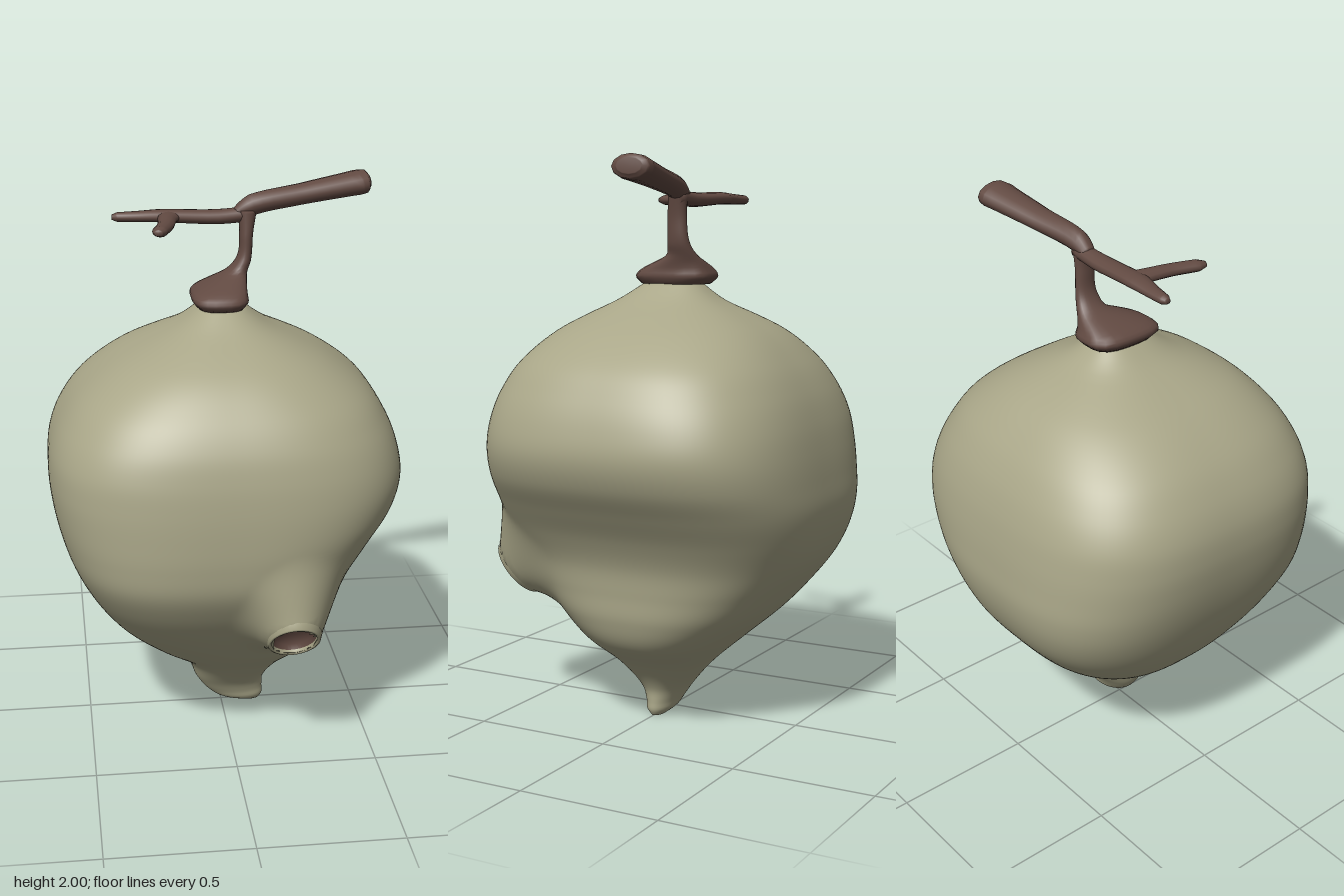
import * as THREE from 'three';

const V = (x, y, z) => new THREE.Vector3(x, y, z);

// Skin a closed surface over a list of rings (each an array of points), with end caps
function skin(rings) {
  const n = rings[0].length, pos = [], index = [];
  rings.forEach(r => r.forEach(p => pos.push(p.x, p.y, p.z)));
  for (let i = 0; i < rings.length - 1; i++) {
    for (let j = 0; j < n; j++) {
      const k = (j + 1) % n, a = i * n + j, b = i * n + k;
      index.push(a, b, b + n, a, b + n, a + n);
    }
  }
  [0, rings.length - 1].forEach(i => {
    const c = rings[i].reduce((s, p) => s.add(p), V(0, 0, 0)).divideScalar(n);
    const id = pos.length / 3;
    pos.push(c.x, c.y, c.z);
    for (let j = 0; j < n; j++) {
      const a = i * n + j, b = i * n + (j + 1) % n;
      if (i === 0) index.push(id, b, a); else index.push(id, a, b);
    }
  });
  const g = new THREE.BufferGeometry();
  g.setAttribute('position', new THREE.Float32BufferAttribute(pos, 3));
  g.setIndex(index);
  g.computeVertexNormals();
  return g;
}

// Stack rounded-square sections; rows are [y, xMin, xMax, zMin, zMax, squareness]
function stack(rows, steps, sides, power) {
  const f = new THREE.CubicInterpolant(
    new Float32Array(rows.map(r => r[0])), new Float32Array(rows.flatMap(r => r.slice(1))), 5);
  const y0 = rows[0][0], y1 = rows[rows.length - 1][0], rings = [];
  for (let i = 0; i <= steps; i++) {
    const y = y0 + (y1 - y0) * Math.pow(i / steps, power);
    const [xa, xb, za, zb, n] = f.evaluate(y);
    rings.push(Array.from({ length: sides }, (_, j) => {
      const t = j / sides * Math.PI * 2, c = Math.cos(t), s = -Math.sin(t);
      const r = Math.pow(Math.abs(c) ** n + Math.abs(s) ** n, -1 / n);
      return V((xa + xb) / 2 + c * r * (xb - xa) / 2, y, (za + zb) / 2 + s * r * (zb - za) / 2);
    }));
  }
  return rings;
}

// Tapering limb; points are [x, y, z, halfWidth, halfHeight]
function limb(points, sides = 12) {
  const path = new THREE.CatmullRomCurve3(points.map(p => V(p[0], p[1], p[2])));
  const steps = (points.length - 1) * 5, rings = [];
  for (let i = 0; i <= steps; i++) {
    const u = i / steps, k = Math.min(Math.floor(i / 5), points.length - 2), m = i / 5 - k;
    const c = path.getPoint(u), t = path.getTangent(u);
    const side = t.clone().cross(V(0, 1, 0)).normalize(), up = side.clone().cross(t);
    const w = THREE.MathUtils.lerp(points[k][3], points[k + 1][3], m);
    const h = THREE.MathUtils.lerp(points[k][4], points[k + 1][4], m);
    rings.push(Array.from({ length: sides }, (_, j) => {
      const a = j / sides * Math.PI * 2;
      return c.clone().addScaledVector(up, Math.cos(a) * h).addScaledVector(side, Math.sin(a) * w);
    }));
  }
  return skin(rings);
}

export function createModel() {
  const paper = new THREE.MeshStandardMaterial({ color: 0xa9a688 });
  paper.name = 'paper';
  const bark = new THREE.MeshStandardMaterial({ color: 0x624a42 });
  bark.name = 'bark';
  const model = new THREE.Group();
  model.name = 'hangingNest';
  const add = (name, geometry, material, parent = model) => {
    const m = new THREE.Mesh(geometry, material);
    m.name = name;
    parent.add(m);
    return m;
  };

  // Nest body: lopsided, dented on its left side, with a drooping tip
  const rings = stack([
    [0, 0.06, 0.145, -0.022, 0.022, 2],
    [0.02, -0.005, 0.157, -0.046, 0.046, 2],
    [0.05, -0.05, 0.157, -0.06, 0.056, 2],
    [0.1, -0.09, 0.162, -0.09, 0.08, 2.1],
    [0.2, -0.14, 0.235, -0.18, 0.165, 2.2],
    [0.3, -0.28, 0.35, -0.29, 0.275, 2.4],
    [0.4, -0.39, 0.395, -0.40, 0.375, 2.6],
    [0.5, -0.463, 0.405, -0.485, 0.46, 2.8],
    [0.6, -0.52, 0.42, -0.555, 0.53, 2.9],
    [0.7, -0.563, 0.465, -0.597, 0.58, 3],
    [0.8, -0.595, 0.53, -0.616, 0.595, 3],
    [0.9, -0.616, 0.595, -0.612, 0.596, 3],
    [1.0, -0.625, 0.624, -0.60, 0.59, 3],
    [1.1, -0.615, 0.61, -0.578, 0.575, 3],
    [1.2, -0.575, 0.57, -0.54, 0.545, 2.9],
    [1.3, -0.50, 0.50, -0.477, 0.485, 2.8],
    [1.4, -0.37, 0.365, -0.375, 0.385, 2.6],
    [1.45, -0.27, 0.27, -0.29, 0.30, 2.5],
    [1.5, -0.165, 0.17, -0.19, 0.20, 2.4],
    [1.57, -0.07, 0.07, -0.10, 0.09, 2.4],
  ], 110, 144, 1.25);

  // Pull the front surface out to a flared spout around the entrance
  const mouth = V(0.19, 0.505, 0.545), out = V(0, -0.66, 0.75).normalize(), stretch = 1.3;
  const along = V(0, out.z, -out.y);
  const radius = p => {
    const d = p.clone().sub(mouth);
    return p.z < 0.15 ? 9 : Math.hypot(d.x, d.dot(along) / stretch);
  };
  rings.flat().forEach(p => {
    const t = THREE.MathUtils.clamp((radius(p) - 0.086) / 0.13, 0, 1);
    const height = p.clone().sub(mouth).dot(out);
    p.addScaledVector(out, -height * (1 - t) ** 2);
  });
  const body = skin(rings);

  // Cut the entrance open
  const flat = rings.flat(), old = body.index.array, kept = [];
  for (let i = 0; i < old.length; i += 3) {
    const tri = [old[i], old[i + 1], old[i + 2]];
    if (!tri.every(k => k < flat.length && radius(flat[k]) < 0.085)) kept.push(...tri);
  }
  body.setIndex(kept);
  add('nestBody', body, paper);

  // Entrance rim and dark hollow
  const entrance = new THREE.Group();
  entrance.name = 'entrance';
  entrance.position.copy(mouth);
  entrance.quaternion.setFromUnitVectors(V(0, 1, 0), out);
  entrance.scale.z = stretch;
  model.add(entrance);
  const lathe = pts => new THREE.LatheGeometry(pts.map(p => new THREE.Vector2(...p)), 40);
  add('entranceRim', lathe([[0.098, -0.02], [0.09, 0.001], [0.084, 0.004], [0.079, 0], [0.077, -0.012]]), paper, entrance);
  add('entranceHollow', lathe([[0.08, -0.004], [0.072, -0.03], [0.045, -0.05], [0, -0.056]]), bark, entrance);

  // Stem: a sloping foot that narrows to an upright stalk
  add('stem', skin(stack([
    [1.56, -0.085, 0.08, -0.135, 0.11, 3],
    [1.585, -0.104, 0.094, -0.157, 0.13, 3.4],
    [1.61, -0.095, 0.092, -0.15, 0.11, 3.2],
    [1.635, -0.045, 0.095, -0.14, 0.055, 2.6],
    [1.66, 0.015, 0.1, -0.128, -0.008, 2.3],
    [1.7, 0.058, 0.114, -0.115, -0.028, 2.2],
    [1.8, 0.074, 0.122, -0.107, -0.036, 2.2],
    [1.88, 0.066, 0.135, -0.11, -0.042, 2.2],
  ], 32, 24, 1)), bark);

  // Thick branch on the left, rising to a blunt end
  add('thickBranch', limb([
    [0.06, 1.865, -0.08, 0.026, 0.02],
    [0.12, 1.895, -0.08, 0.038, 0.038],
    [0.3, 1.925, -0.105, 0.054, 0.037],
    [0.5, 1.955, -0.132, 0.074, 0.043],
    [0.528, 1.959, -0.135, 0.068, 0.041],
    [0.54, 1.96, -0.136, 0.045, 0.026],
  ]), bark);

  // Thin branch on the right
  add('thinBranch', limb([
    [0.12, 1.865, -0.08, 0.03, 0.028],
    [0.0, 1.856, -0.08, 0.04, 0.026],
    [-0.2, 1.862, -0.09, 0.042, 0.022],
    [-0.28, 1.859, -0.1, 0.03, 0.019],
    [-0.35, 1.857, -0.107, 0.021, 0.017],
    [-0.37, 1.857, -0.108, 0.01, 0.009],
  ]), bark);

  // Side twig pointing forward
  add('sideTwig', limb([
    [-0.17, 1.86, -0.09, 0.045, 0.02],
    [-0.183, 1.86, -0.02, 0.033, 0.021],
    [-0.195, 1.858, 0.06, 0.029, 0.02],
    [-0.222, 1.857, 0.15, 0.027, 0.019],
    [-0.23, 1.857, 0.178, 0.014, 0.01],
  ]), bark);

  return model;
}
